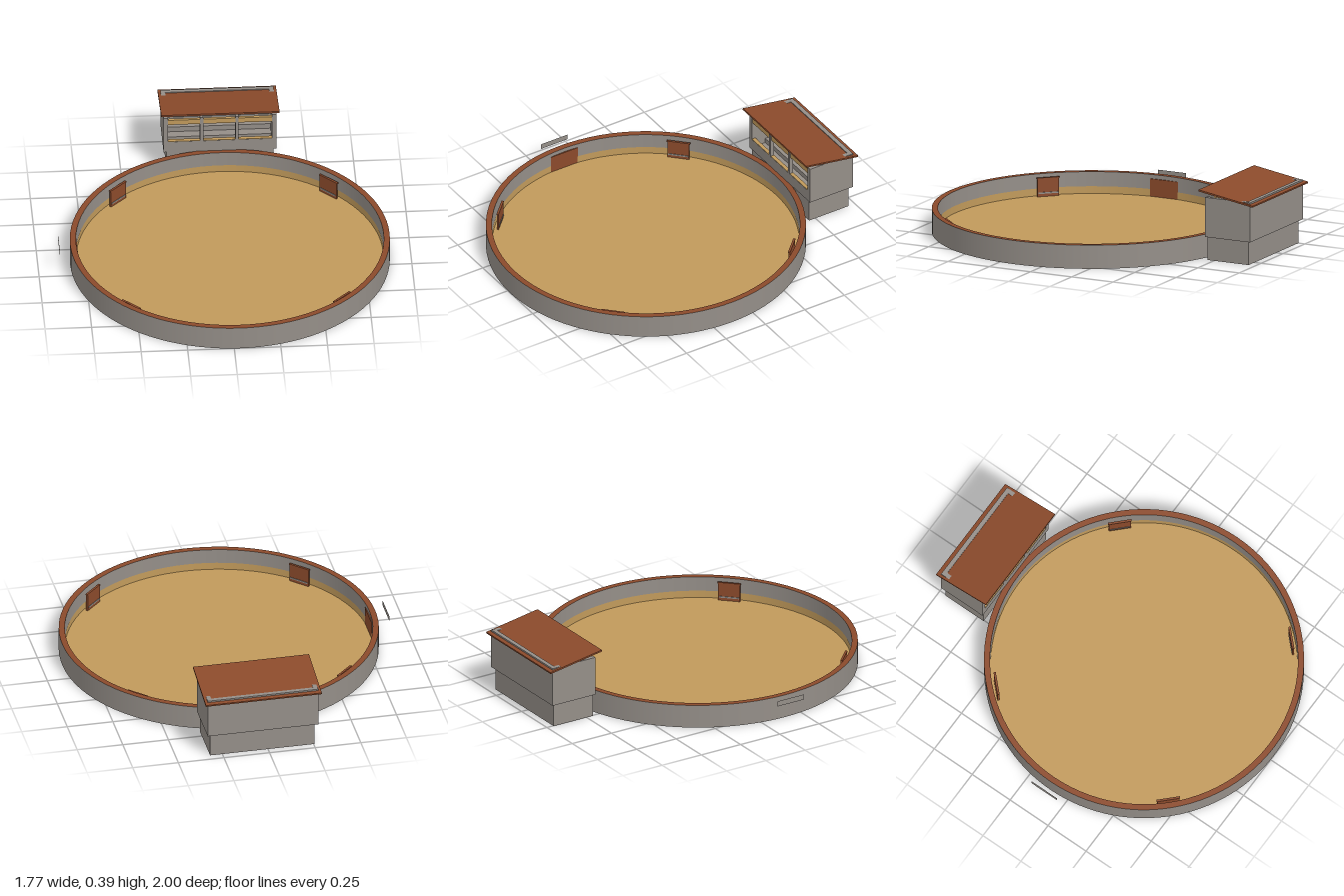
import * as THREE from 'three';

const mat = (name, color, side = THREE.FrontSide) => {
  const m = new THREE.MeshStandardMaterial({ color, side });
  m.name = name;
  return m;
};

export function createModel() {
  const grey = mat('stone grey', 0x948e88, THREE.DoubleSide);
  const brown = mat('red brown', 0x8b4a2b);
  const tan = mat('sand', 0xc19a5b, THREE.DoubleSide);

  const model = new THREE.Group();
  model.name = 'arena';

  const add = (parent, name, geo, material, x = 0, y = 0, z = 0) => {
    const m = new THREE.Mesh(geo, material);
    m.name = name;
    m.position.set(x, y, z);
    parent.add(m);
    return m;
  };
  // Box given by its min and max on each axis
  const block = (parent, name, material, x0, x1, y0, y1, z0, z1) =>
    add(parent, name, new THREE.BoxGeometry(x1 - x0, y1 - y0, z1 - z0), material,
      (x0 + x1) / 2, (y0 + y1) / 2, (z0 + z1) / 2);

  // Ring: centre, radii and wall height
  const CX = 0.03, CZ = 0.143, RO = 0.857, RI = 0.825, H = 0.13, SEG = 96;
  const ring = new THREE.Group();
  ring.name = 'ring';
  ring.position.set(CX, 0, CZ);
  model.add(ring);

  const tube = (r, h) => new THREE.CylinderGeometry(r, r, h, SEG, 1, true);
  const annulus = (up) => new THREE.RingGeometry(RI, RO, SEG).rotateX(up ? -Math.PI / 2 : Math.PI / 2);
  add(ring, 'outerWall', tube(RO, H), grey, 0, H / 2, 0);
  add(ring, 'innerWall', tube(RI, H), grey, 0, H / 2, 0);
  add(ring, 'wallBase', annulus(false), grey);
  add(ring, 'wallCap', annulus(true), brown, 0, H, 0);
  add(ring, 'innerWallBand', tube(RI - 0.002, 0.04), tan, 0, 0.03, 0);
  add(ring, 'sandFloor', new THREE.CylinderGeometry(RI, RI, 0.008, SEG), tan, 0, 0.006, 0);

  // Four shelter boards set diagonally inside the wall
  for (let i = 0; i < 4; i++) {
    const shelter = new THREE.Group();
    shelter.name = 'shelterBoard';
    const a = Math.PI / 4 + i * Math.PI / 2;
    shelter.position.set(Math.sin(a) * 0.8, 0, Math.cos(a) * 0.8);
    shelter.rotation.y = a;
    ring.add(shelter);
    block(shelter, 'board', brown, -0.06, 0.06, 0.001, 0.11, -0.005, 0.005);
    block(shelter, 'boardTop', brown, -0.064, 0.064, 0.108, 0.114, -0.006, 0.006);
    block(shelter, 'boardStripe', grey, -0.055, 0.055, 0.026, 0.034, -0.008, -0.004);
  }

  // Gate on the inner wall and its sign plate outside
  block(model, 'gate', brown, -0.797, -0.788, 0.01, 0.107, 0.055, 0.225);
  add(model, 'gatePlate', new THREE.PlaneGeometry(0.17, 0.03).rotateY(-Math.PI / 2), grey, -0.886, 0.12, 0.143);

  // Spectator box
  const box = new THREE.Group();
  box.name = 'spectatorBox';
  model.add(box);
  const X0 = -0.272, X1 = 0.334, ZB = -0.978, ZF = -0.705, Y0 = 0.135, Y1 = 0.348;
  block(box, 'base', grey, -0.255, 0.317, 0, Y0, -0.96, -0.71);
  block(box, 'boxFloor', grey, X0, X1, Y0 - 0.005, Y0 + 0.008, ZB, ZF);
  block(box, 'backWall', grey, X0, X1, Y0, Y1, ZB, ZB + 0.024);
  for (const x of [X0, X1 - 0.024]) block(box, 'sideWall', grey, x, x + 0.024, Y0, Y1, ZB, ZF);
  block(box, 'parapet', grey, X0, X1, Y0, 0.195, ZF - 0.02, ZF);
  block(box, 'parapetRail', tan, X0 + 0.024, X1 - 0.024, 0.193, 0.198, ZF - 0.022, ZF - 0.001);
  block(box, 'frontBeam', tan, X0 + 0.024, X1 - 0.024, 0.303, 0.332, ZF - 0.02, ZF - 0.004);
  for (const x of [-0.068, 0.122]) block(box, 'post', grey, x - 0.009, x + 0.009, 0.19, 0.345, ZF - 0.02, ZF);

  // Stepped seating
  for (let i = 0; i < 3; i++) {
    const y = 0.17 + i * 0.03;
    block(box, 'seatStep', grey, X0 + 0.024, X1 - 0.024, Y0, y, ZB + 0.02, -0.79 - i * 0.05);
  }

  // Sloping roof
  const roof = add(box, 'roof', new THREE.BoxGeometry(0.635, 0.009, 0.332), brown, 0.031, 0.358, -0.836);
  roof.rotation.x = -Math.atan2(0.053, 0.325);

  return model;
}
